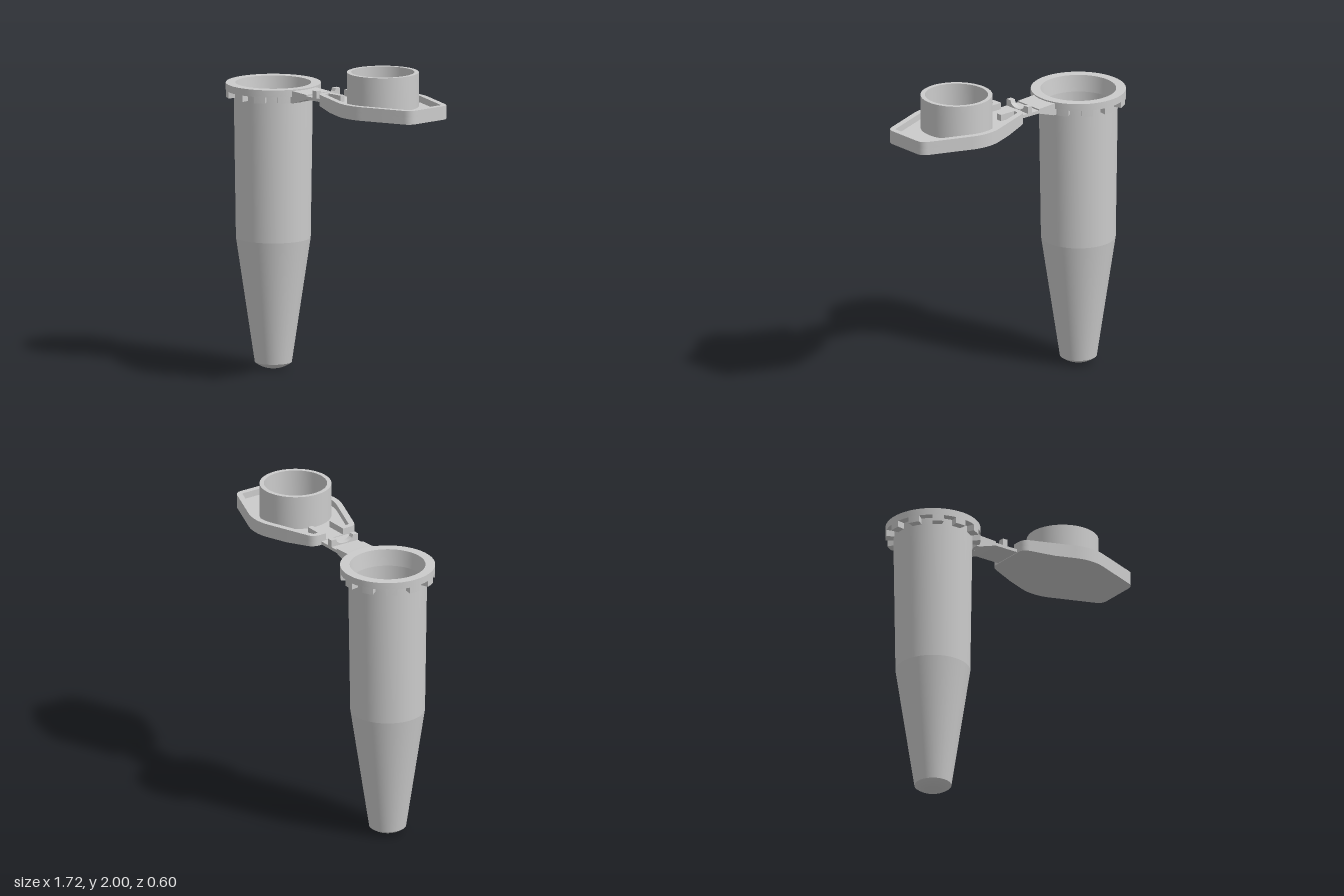
import * as THREE from 'three';
import { toCreasedNormals } from 'three/addons/utils/BufferGeometryUtils.js';

const TUBE_X = -0.565, LID_X = 0.4325;
const material = new THREE.MeshStandardMaterial({ color: 0xcccccc, side: THREE.DoubleSide });

function part(name, geometry, crease = 0.3) {
  const mesh = new THREE.Mesh(toCreasedNormals(geometry, crease), material);
  mesh.name = name;
  return mesh;
}

const lathe = points => new THREE.LatheGeometry(points.map(p => new THREE.Vector2(...p)), 96);

// Extrude a list of points along +z
function extrude(points, depth) {
  const shape = new THREE.Shape(points.map(p => new THREE.Vector2(...p)));
  return new THREE.ExtrudeGeometry(shape, { depth, bevelEnabled: false, curveSegments: 24 });
}

// Extrude a plan outline upward from y0 to y1
const slab = (points, y0, y1) => extrude(points, y1 - y0).rotateX(-Math.PI / 2).translate(0, y0, 0);

// Shallow bowl points from the axis (or to it) for the tube bottom
function bowl(radius, yLow, yRim) {
  const h = yRim - yLow, R = (radius * radius + h * h) / (2 * h), a = Math.asin(radius / R);
  return Array.from({ length: 13 }, (_, i) => {
    const t = a * i / 12;
    return [R * Math.sin(t), yLow + R * (1 - Math.cos(t))];
  });
}

// Lid outline, inset by a distance: a circle with tangent sides and cut ends
const SLOPE = 0.366, CREASE_X = -0.2325;
function lidOutline(inset, round) {
  const hx = 0.4225 - inset, R = 0.3 - inset;
  const s = Math.sin(SLOPE), c = Math.cos(SLOPE);
  const edgeZ = x => (R - x * s) / c;
  const cz = edgeZ(hx), quarter = [];
  // Arc from the middle to the tangent point, then the crease point
  for (let i = 0; i <= 8; i++) {
    const a = SLOPE * i / 8;
    quarter.push([R * Math.sin(a), R * Math.cos(a)]);
  }
  quarter.push([-CREASE_X, edgeZ(-CREASE_X)]);
  // Rounded corner
  const corner = new THREE.QuadraticBezierCurve(
    new THREE.Vector2(hx - round * c, cz + round * s),
    new THREE.Vector2(hx, cz),
    new THREE.Vector2(hx, cz - round));
  corner.getPoints(8).forEach(p => quarter.push([p.x, p.y]));
  const flip = (sx, sz) => quarter.map(([x, z]) => [sx * x, sz * z]);
  // Runs from the left end over the +y side, around the right end and back
  return [...flip(-1, 1).reverse(), ...flip(1, 1).slice(1),
    ...flip(1, -1).reverse(), ...flip(-1, -1).slice(1)];
}

function createTube() {
  const tube = new THREE.Group();
  tube.name = 'tube';
  tube.add(part('tubeBody', lathe([
    ...bowl(0.115, 0.005, 0.045),
    [0.232, 0.83], [0.245, 1.72], [0.245, 1.76],
    [0.295, 1.76], [0.295, 1.805], [0.235, 1.805],
    [0.222, 1.7], [0.212, 0.83],
    ...bowl(0.085, 0.05, 0.1).reverse()
  ]), 0.1));

  // Teeth hanging under the flange
  const half = 0.122, outline = [];
  for (let i = 0; i <= 4; i++) {
    const a = -half + half * i / 2;
    outline.push([0.295 * Math.cos(a), 0.295 * Math.sin(a)]);
  }
  for (let i = 4; i >= 0; i--) {
    const a = -half + half * i / 2;
    outline.push([0.24 * Math.cos(a), 0.24 * Math.sin(a)]);
  }
  for (let i = 0; i < 12; i++) {
    const tooth = part('flangeTooth', slab(outline, 1.72, 1.765));
    tooth.rotation.y = i * Math.PI / 6;
    tube.add(tooth);
  }
  tube.position.x = TUBE_X;
  return tube;
}

function createHinge() {
  const hinge = new THREE.Group();
  hinge.name = 'hinge';
  // Strap thinning towards the lid
  hinge.add(part('strap', extrude([
    [-0.3, 1.72], [-0.28, 1.72], [-0.155, 1.761], [0.03, 1.761],
    [0.03, 1.781], [-0.155, 1.781], [-0.155, 1.79], [-0.3, 1.798]
  ], 0.2).translate(0, 0, -0.1)));

  // Cross ridge with a hollow middle
  const dip = Array.from({ length: 17 }, (_, i) => {
    const t = 1 - i / 8;
    return [0.065 * t, 1.787 + 0.038 * (1 - Math.sqrt(1 - t * t))];
  });
  const ridge = extrude([[-0.1, 1.775], [0.1, 1.775], [0.1, 1.825], ...dip, [-0.1, 1.825]], 0.035);
  hinge.add(part('hingeRidge', ridge.rotateY(Math.PI / 2).translate(-0.1, 0, 0)));
  return hinge;
}

function createLid() {
  const lid = new THREE.Group();
  lid.name = 'lid';
  const outer = lidOutline(0, 0.045), inner = lidOutline(0.037, 0.008);

  // Floor plate in two pieces, the hinge end sloping up underneath
  const pieces = [
    outer.filter(p => p[0] <= CREASE_X + 1e-6),
    outer.filter(p => p[0] >= CREASE_X - 1e-6)
  ];
  pieces.forEach(points => {
    const geometry = slab(points, 1.74, 1.785), pos = geometry.attributes.position;
    for (let i = 0; i < pos.count; i++) {
      if (pos.getY(i) < 1.76) {
        const t = Math.max(0, (CREASE_X - pos.getX(i)) / 0.19);
        pos.setY(i, 1.74 + 0.017 * t);
      }
    }
    lid.add(part('lidPlate', geometry));
  });

  // Raised rim, open at the hinge, its ends turned inward as ribs
  const left = -0.4225, wall = left + 0.037, tip = -0.2775;
  lid.add(part('lidRim', slab([
    [left, 0.065], ...outer, [left, -0.065],
    [tip, -0.065], [tip, -0.1], [wall, -0.1],
    ...inner.reverse(),
    [wall, 0.1], [tip, 0.1], [tip, 0.065]
  ], 1.78, 1.826)));

  // Hollow plug
  lid.add(part('plug', lathe([[0.223, 1.78], [0.223, 2], [0.196, 2], [0.196, 1.78]])));
  lid.position.x = LID_X;
  return lid;
}

export function createModel() {
  const model = new THREE.Group();
  model.name = 'sampleTube';
  model.add(createTube(), createHinge(), createLid());
  return model;
}
